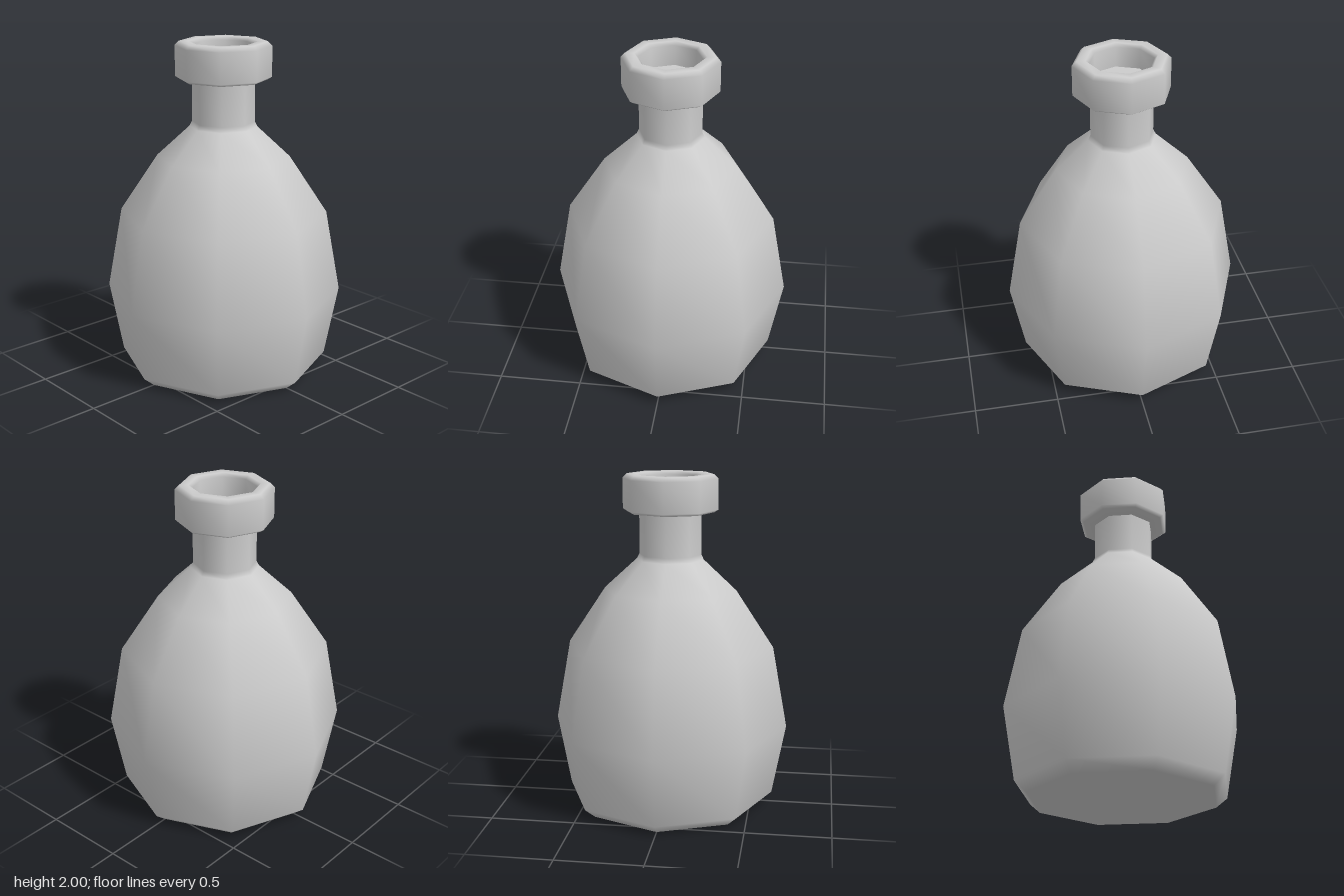
import * as THREE from 'three';

const SIDES = 8;

export function createModel() {
  const group = new THREE.Group();
  const material = new THREE.MeshStandardMaterial({ color: 0xcccccc });

  // Eight-sided turned part with smooth normals, from [radius, height] pairs
  const turned = (name, profile) => {
    const points = profile.map(([r, y]) => new THREE.Vector2(r, y));
    const mesh = new THREE.Mesh(new THREE.LatheGeometry(points, SIDES), material);
    mesh.name = name;
    group.add(mesh);
  };

  // Base, rounded belly, shoulder and neck
  turned('bottleBody', [
    [0, 0], [0.56, 0], [0.63, 0.06], [0.71, 0.49], [0.62, 0.98],
    [0.395, 1.32], [0.2, 1.5], [0.185, 1.53], [0.185, 1.78],
  ]);

  // Thick collar around the mouth, with bevelled edges and an inner wall
  turned('lip', [
    [0.185, 1.77], [0.26, 1.78], [0.283, 1.795], [0.283, 1.975],
    [0.258, 2], [0.205, 2], [0.185, 1.98], [0.185, 1.86],
  ]);

  // Flat floor closing the recess of the mouth
  const floor = new THREE.Mesh(new THREE.CircleGeometry(0.185, SIDES), material);
  floor.name = 'mouthFloor';
  floor.rotation.x = -Math.PI / 2;
  floor.position.y = 1.86;
  group.add(floor);

  return group;
}
